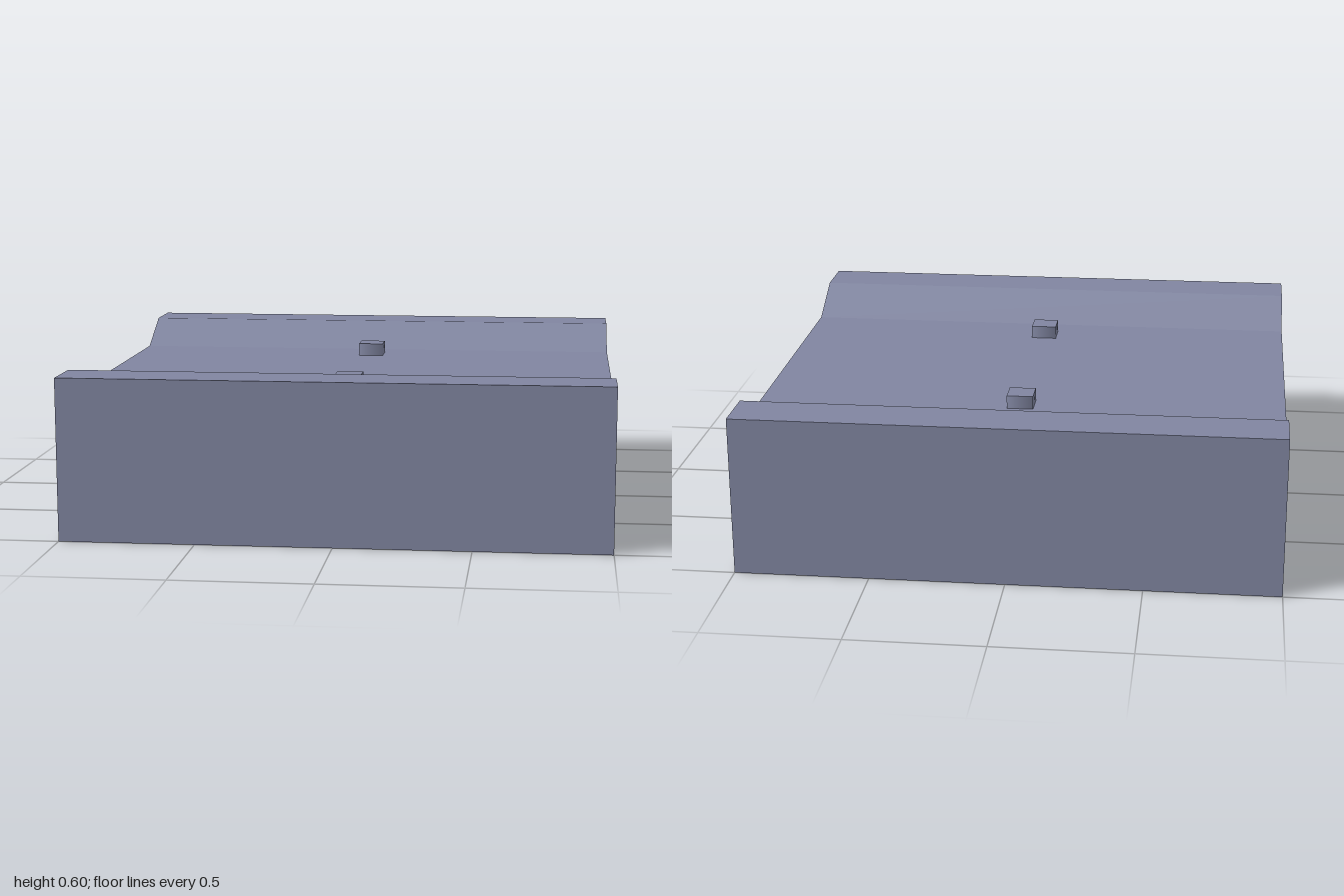
import * as THREE from 'three';

export function createModel() {
  const model = new THREE.Group();
  model.name = 'channelTile';
  const slate = new THREE.MeshStandardMaterial({ color: 0x8085a0 });
  slate.name = 'slate';

  // Block with a shallow sloped channel, its profile extruded along x
  const profile = new THREE.Shape([
    [-1, 0], [1, 0], [1, 0.6], [0.8, 0.6], [0.6, 0.5],
    [-0.6, 0.5], [-0.8, 0.6], [-1, 0.6],
  ].map(([z, y]) => new THREE.Vector2(z, y)));
  const blockGeometry = new THREE.ExtrudeGeometry(profile, { depth: 2, bevelEnabled: false });
  blockGeometry.translate(0, 0, -1).rotateY(-Math.PI / 2);
  const block = new THREE.Mesh(blockGeometry, slate);
  block.name = 'channelBlock';
  model.add(block);

  // Two four-sided pegs with smooth sides on the channel floor
  const pegGeometry = new THREE.CylinderGeometry(0.05 * Math.SQRT2, 0.05 * Math.SQRT2, 0.05, 4);
  pegGeometry.rotateY(Math.PI / 4);
  for (const [name, z] of [['frontPeg', 0.45], ['backPeg', -0.45]]) {
    const peg = new THREE.Mesh(pegGeometry, slate);
    peg.name = name;
    peg.position.set(0, 0.525, z);
    model.add(peg);
  }
  return model;
}
